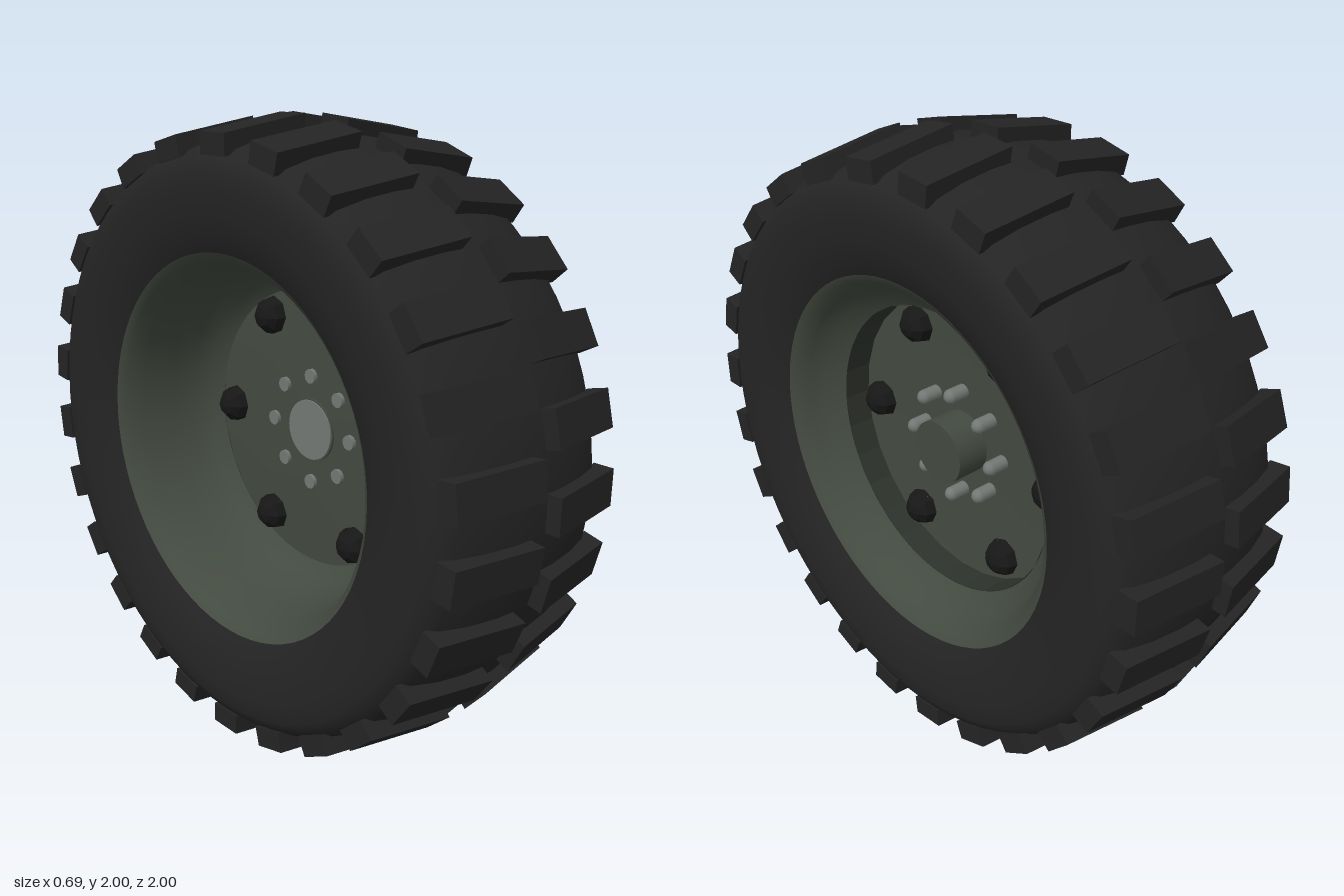
import * as THREE from 'three';

const mat = (name, color, extra = {}) => {
  const m = new THREE.MeshStandardMaterial({ color, ...extra });
  m.name = name;
  return m;
};

export function createModel() {
  const model = new THREE.Group();
  model.name = 'wheel';
  const wheel = new THREE.Group();
  wheel.name = 'wheelAssembly';
  wheel.position.y = 1;
  model.add(wheel);

  const both = { side: THREE.DoubleSide };
  const rubber = mat('rubber', 0x242424, both);
  const green = mat('rimGreen', 0x434a40, both);
  const darkGreen = mat('recessGreen', 0x2e332c, { ...both, flatShading: true });
  const black = mat('nutBlack', 0x171717, { flatShading: true });
  const steel = mat('boltSteel', 0x737874, both);

  const add = (name, geo, material) => {
    const mesh = new THREE.Mesh(geo, material);
    mesh.name = name;
    wheel.add(mesh);
    return mesh;
  };
  // Revolve [radius, x] points about the axle
  const revolve = (pts, segments = 72) =>
    new THREE.LatheGeometry(pts.map(([r, x]) => new THREE.Vector2(r, x)), segments).rotateZ(-Math.PI / 2);
  // Position on a bolt circle, measured from +z
  const onCircle = (mesh, r, a, x) => mesh.position.set(x, r * Math.sin(a), r * Math.cos(a));

  // Tyre carcass, mirrored half profile
  const half = [[0.61, 0.3], [0.65, 0.32], [0.72, 0.34], [0.8, 0.345], [0.85, 0.343], [0.885, 0.325],
    [0.91, 0.29], [0.935, 0.2], [0.95, 0.1]];
  add('tyre', revolve([...half.map(([r, x]) => [r, -x]), [0.955, 0], ...half.reverse()]), rubber);

  // Tread lugs: sloping blocks, two staggered rows
  const count = 26, step = (Math.PI * 2) / count;
  const lug = new THREE.BoxGeometry(0.3, 0.065, 0.112);
  lug.translate(0.18, 0.966, 0);
  const p = lug.attributes.position;
  for (let i = 0; i < p.count; i++) p.setY(i, p.getY(i) - 0.15 * (p.getX(i) - 0.03));
  lug.computeVertexNormals();
  for (const side of [1, -1]) {
    const row = side > 0 ? lug : lug.clone().rotateY(Math.PI);
    for (let i = 0; i < count; i++) {
      const block = add(side > 0 ? 'leftTreadLug' : 'rightTreadLug', row, rubber);
      block.rotation.x = Math.PI / 2 + (i + (side > 0 ? 0 : 0.5)) * step;
    }
  }

  // Rim: shallow outer lip and deep inner bowl
  add('outerRim', revolve([[0.61, 0.3], [0.585, 0.285], [0.56, 0.25], [0.535, 0.2], [0.48, 0.16]]), green);
  add('recessWall', revolve([[0.48, 0.16], [0.48, 0.06]], 28), darkGreen);
  add('wheelDisc', revolve([[0.48, 0.065], [0.3, 0.055], [0.001, 0.05]]), green);
  add('innerRim', revolve([[0.61, -0.3], [0.585, -0.28], [0.565, -0.22], [0.545, -0.12], [0.53, -0.04],
    [0.5, 0.02], [0.46, 0.05]]), green);

  // Hub cap with a rear face plate
  add('hubCap', new THREE.CylinderGeometry(0.105, 0.105, 0.12, 32).rotateZ(-Math.PI / 2).translate(0.105, 0, 0), green);
  add('hubBackPlate', new THREE.CylinderGeometry(0.1, 0.1, 0.008, 32).rotateZ(-Math.PI / 2).translate(0.044, 0, 0), steel);

  // Large wheel nuts, passing through the disc
  const nut = new THREE.SphereGeometry(0.064, 8, 6).rotateZ(-Math.PI / 2);
  const washer = new THREE.CylinderGeometry(0.032, 0.032, 0.008, 16).rotateZ(-Math.PI / 2);
  for (let i = 0; i < 6; i++) {
    const a = (i * Math.PI) / 3;
    onCircle(add('wheelNut', nut, black), 0.4, a, 0.06);
    onCircle(add('nutWasher', washer, steel), 0.374, a, 0.064);
  }

  // Small hub bolts with rounded heads
  const shank = new THREE.CylinderGeometry(0.024, 0.024, 0.07, 12).rotateZ(-Math.PI / 2);
  const head = new THREE.SphereGeometry(0.024, 12, 8);
  for (let i = 0; i < 8; i++) {
    const a = (i * Math.PI) / 4;
    onCircle(add('hubBolt', shank, steel), 0.18, a, 0.075);
    onCircle(add('hubBoltHead', head, steel), 0.18, a, 0.107);
  }
  return model;
}
